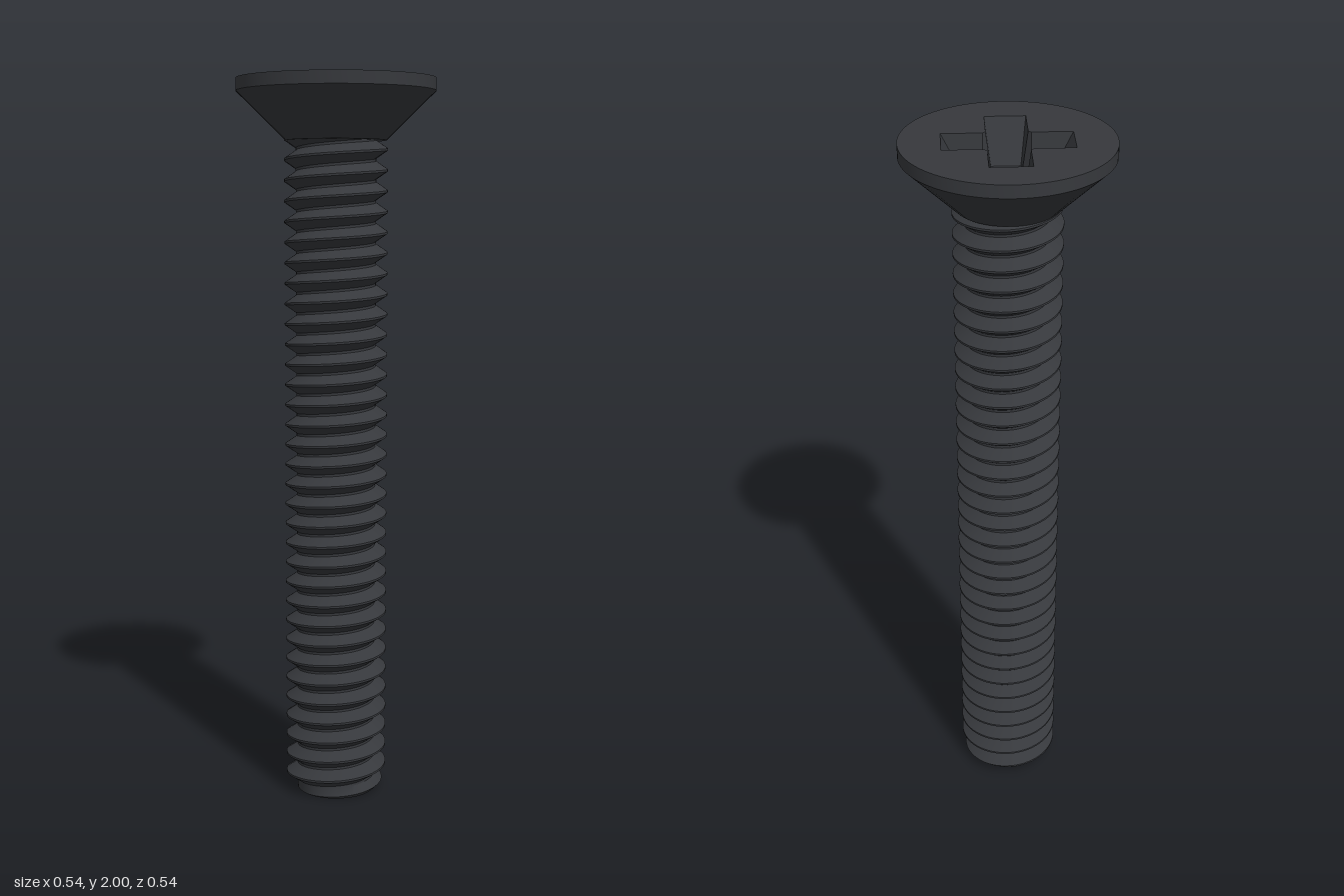
import * as THREE from 'three';
import { toCreasedNormals } from 'three/addons/utils/BufferGeometryUtils.js';

const material = new THREE.MeshStandardMaterial({ color: 0x36383c });
const V = (x, y) => new THREE.Vector2(x, y);

const TOP = 2, NECK = 1.84, PITCH = 0.056, ROOT = 0.11, CREST = 0.142;
const FLOOR = 1.89, PIT = 0.068;

function add(group, name, geometry) {
  const mesh = new THREE.Mesh(geometry, material);
  mesh.name = name;
  group.add(mesh);
}

const lathe = (points) => toCreasedNormals(new THREE.LatheGeometry(points, 96), 0.5);

// Cross outline, counter-clockwise, with cut inner corners
function cross(length, half, cut) {
  const quarter = [V(length, half), V(half + cut, half), V(half, half + cut), V(half, length)];
  const points = [];
  for (let q = 0; q < 4; q++) {
    for (const p of quarter) points.push(p.clone().rotateAround(V(0, 0), q * Math.PI / 2));
  }
  return points;
}

// Sloping walls between the cross at the top and the one at the floor
function recessWalls(upper, lower, depth) {
  const pos = [];
  for (let i = 0; i < upper.length; i++) {
    const j = (i + 1) % upper.length;
    const a = [upper[i].x, upper[i].y, 0], b = [upper[j].x, upper[j].y, 0];
    const c = [lower[j].x, lower[j].y, -depth], d = [lower[i].x, lower[i].y, -depth];
    pos.push(...a, ...b, ...c, ...a, ...c, ...d);
  }
  const geo = new THREE.BufferGeometry();
  geo.setAttribute('position', new THREE.Float32BufferAttribute(pos, 3));
  geo.computeVertexNormals();
  return geo.rotateX(-Math.PI / 2).translate(0, TOP, 0);
}

// Flat horizontal face with one hole
function plate(outline, hole, y) {
  const shape = new THREE.Shape(outline);
  shape.holes.push(new THREE.Path(hole));
  return new THREE.ShapeGeometry(shape).rotateX(-Math.PI / 2).translate(0, y, 0);
}

function circle(radius, n) {
  return Array.from({ length: n }, (_, i) => {
    const a = i / n * Math.PI * 2;
    return V(radius * Math.cos(a), radius * Math.sin(a));
  });
}

// Right-handed helical V thread, cut flat at both ends
function threadGeometry() {
  const segments = 64, start = 0.02;
  const stops = [-0.44, -0.05, 0.05, 0.44];   // flat crest and root, in pitches
  const rows = [];
  for (let k = -2; k < NECK / PITCH + 1; k++) for (const s of stops) rows.push(k + s);
  const radiusAt = (phase) => {
    const d = Math.abs(phase - Math.round(phase));
    return THREE.MathUtils.mapLinear(THREE.MathUtils.clamp(d, 0.05, 0.44), 0.05, 0.44, CREST, ROOT);
  };
  const pos = [], index = [];
  for (const row of rows) {
    for (let i = 0; i <= segments; i++) {
      const turn = i / segments, a = turn * Math.PI * 2;
      const y = THREE.MathUtils.clamp(start + PITCH * (row + turn), 0, NECK);
      const r = Math.min(radiusAt((y - start) / PITCH - turn), ROOT + y);
      pos.push(r * Math.cos(a), y, -r * Math.sin(a));
    }
  }
  for (let j = 0; j < rows.length - 1; j++) {
    for (let i = 0; i < segments; i++) {
      const a = j * (segments + 1) + i, d = a + segments + 1;
      index.push(a, a + 1, d + 1, a, d + 1, d);
    }
  }
  const geo = new THREE.BufferGeometry();
  geo.setAttribute('position', new THREE.Float32BufferAttribute(pos, 3));
  geo.setIndex(index);
  return toCreasedNormals(geo, 0.5);
}

export function createModel() {
  const model = new THREE.Group();
  model.name = 'countersunkScrew';

  // Head
  const upper = cross(0.165, 0.053, 0.008), lower = cross(0.107, 0.038, 0.022);
  add(model, 'headSide', lathe([V(0.1, 1.835), V(0.138, 1.835), V(0.272, 1.966), V(0.272, TOP)]));
  add(model, 'headTop', plate(circle(0.272, 96), upper, TOP));

  // Cross recess
  add(model, 'recessWalls', recessWalls(upper, lower, TOP - FLOOR));
  add(model, 'recessFloor', plate(lower, circle(PIT, 48), FLOOR));
  add(model, 'recessPit', new THREE.LatheGeometry([V(PIT, FLOOR), V(0, FLOOR - 0.03)], 48));

  // Threaded shank
  add(model, 'thread', threadGeometry());
  add(model, 'shankEnd', new THREE.CircleGeometry(ROOT, 64).rotateX(Math.PI / 2));

  return model;
}
